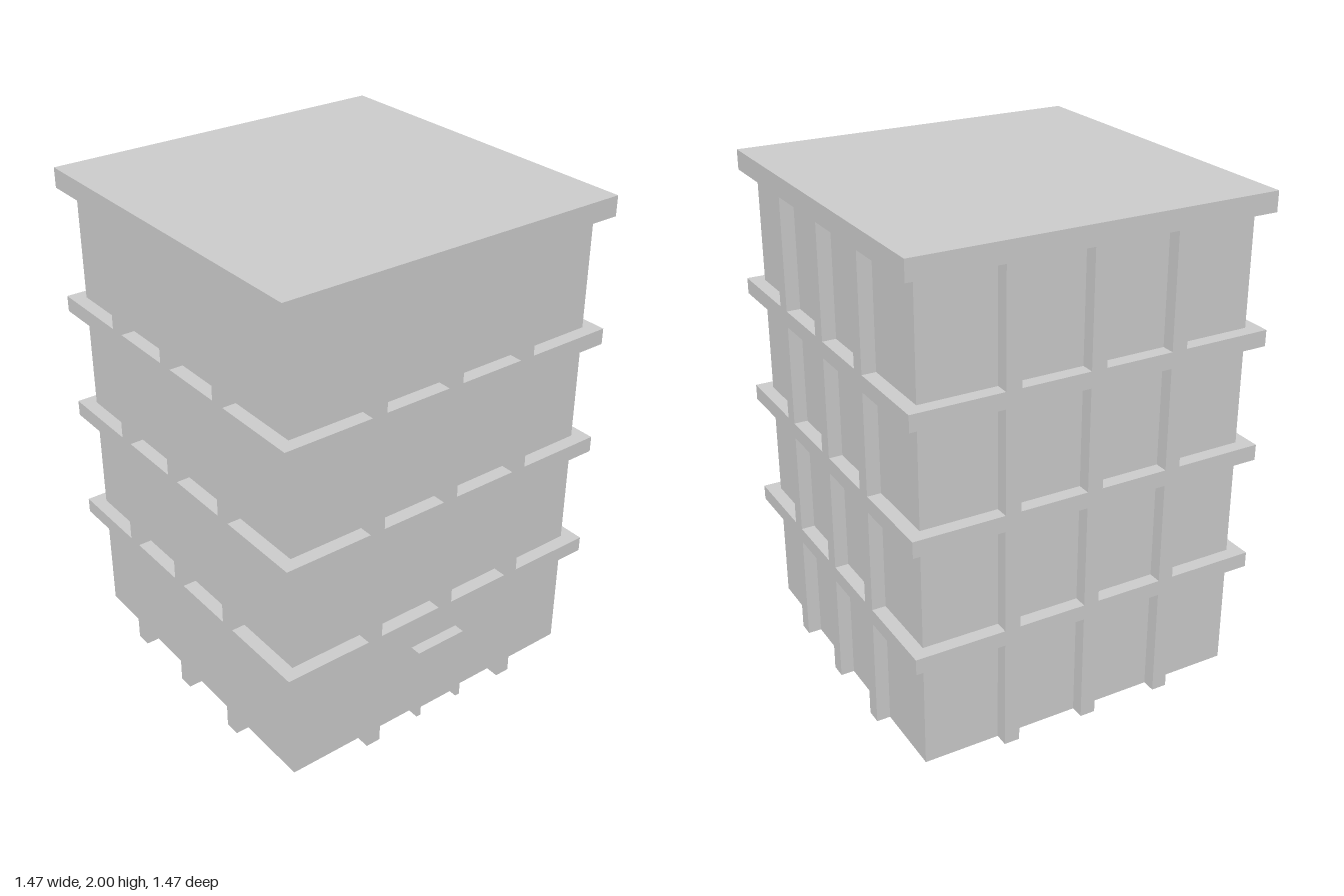
import * as THREE from 'three';

export function createModel() {
  const model = new THREE.Group();
  model.name = 'building';
  const solid = new THREE.MeshStandardMaterial({ color: 0xcccccc, flatShading: true });
  const thin = new THREE.MeshStandardMaterial({ color: 0xcccccc, flatShading: true, side: THREE.DoubleSide });

  const WALL = 0.68, OUT = 0.735, IN = 0.625;
  const bands = [[0.45, 0.513], [0.93, 0.995], [1.405, 1.47]];
  const ROOF = 1.92;

  const add = (parent, name, geometry, x, y, z, material = solid) => {
    const mesh = new THREE.Mesh(geometry, material);
    mesh.name = name;
    mesh.position.set(x, y, z);
    parent.add(mesh);
    return mesh;
  };
  const square = (P, h) => new P([
    new THREE.Vector2(-h, -h), new THREE.Vector2(h, -h),
    new THREE.Vector2(h, h), new THREE.Vector2(-h, h),
  ]);

  // Roof slab
  add(model, 'roof', new THREE.BoxGeometry(OUT * 2, 2 - ROOF, OUT * 2), 0, (2 + ROOF) / 2, 0);

  // Floor bands, square rings that straddle the walls
  for (const [low, high] of bands) {
    const ring = square(THREE.Shape, OUT);
    ring.holes.push(square(THREE.Path, IN));
    const geometry = new THREE.ExtrudeGeometry(ring, { depth: high - low, bevelEnabled: false });
    geometry.rotateX(-Math.PI / 2);
    add(model, 'floorBand', geometry, 0, low, 0);
  }

  // Clear heights of the four storeys
  const storeys = [
    [0, bands[0][0]], [bands[0][1], bands[1][0]],
    [bands[1][1], bands[2][0]], [bands[2][1], ROOF],
  ];

  // Four sides, each with a wall and its pillars
  ['front', 'left', 'back', 'right'].forEach((sideName, i) => {
    const side = new THREE.Group();
    side.name = sideName + 'Side';
    side.rotation.y = i * Math.PI / 2;
    model.add(side);
    add(side, 'wall', new THREE.PlaneGeometry(WALL * 2, ROOF), 0, ROOF / 2, WALL, thin);

    storeys.forEach(([low, high], level) => {
      const back = level === 0 ? WALL : IN;
      for (const x of [-0.341, 0, 0.341]) {
        if (i === 0 && level === 0 && x === 0) continue; // the door stands here
        add(side, 'pillar', new THREE.BoxGeometry(0.063, high - low, OUT - back),
          x, (low + high) / 2, (OUT + back) / 2);
      }
    });
  });

  // Door surround on the front
  const frame = new THREE.Shape();
  [[-0.113, 0], [-0.092, 0], [-0.092, 0.3], [0.092, 0.3], [0.092, 0], [0.113, 0], [0.113, 0.322], [-0.113, 0.322]]
    .forEach(([x, y], i) => (i ? frame.lineTo(x, y) : frame.moveTo(x, y)));
  add(model, 'doorFrame', new THREE.ExtrudeGeometry(frame, { depth: 0.045, bevelEnabled: false }), 0, 0, WALL);
  add(model, 'door', new THREE.BoxGeometry(0.184, 0.3, 0.012), 0, 0.15, WALL + 0.006);

  return model;
}
